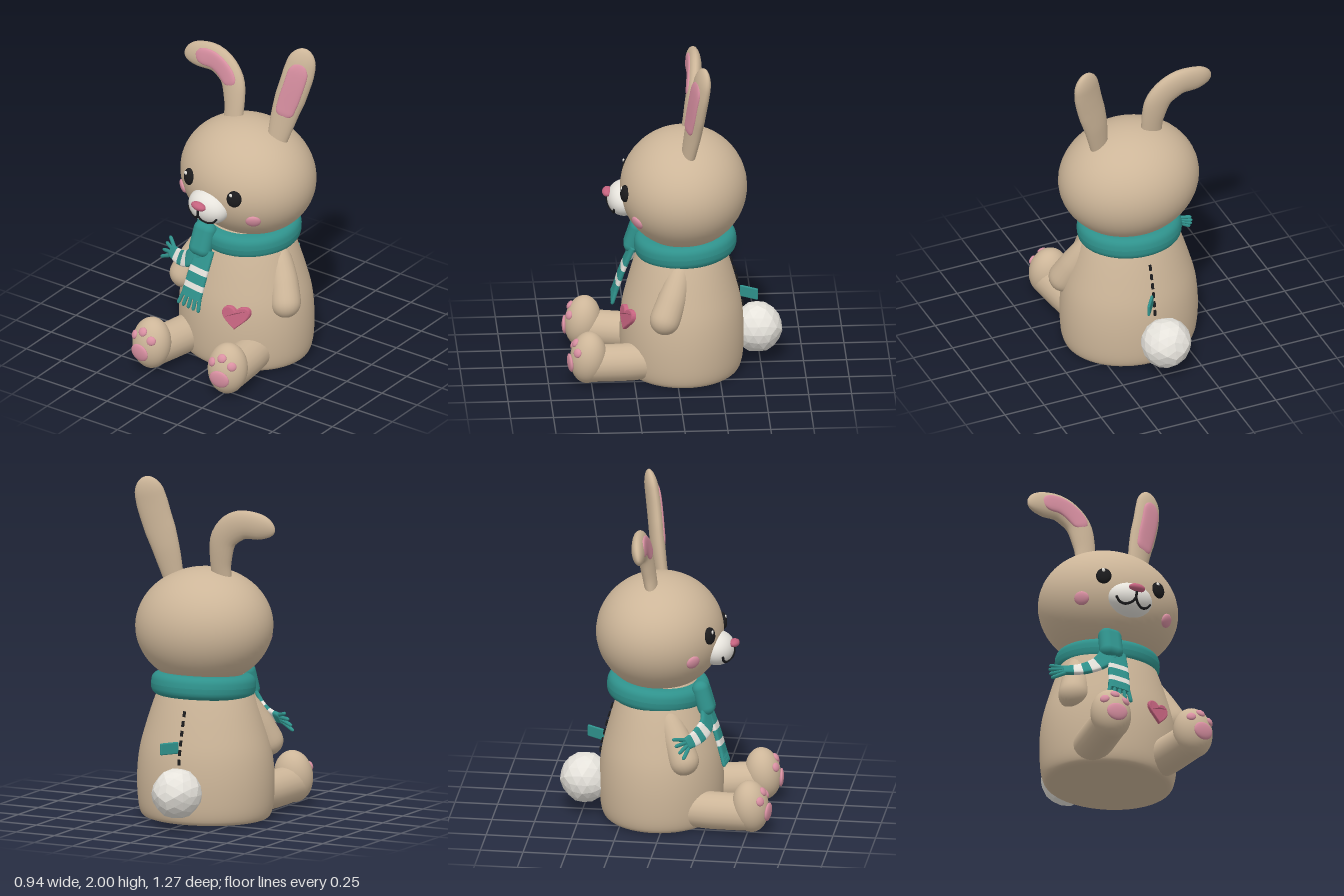
import * as THREE from 'three';
import { RoundedBoxGeometry } from 'three/addons/geometries/RoundedBoxGeometry.js';

const V = (x, y, z) => new THREE.Vector3(x, y, z);
const makeMat = (name, color) => {
  const m = new THREE.MeshStandardMaterial({ color });
  m.name = name;
  return m;
};

// Body outline as radius and height, stretched to an oval
const bodyProfile = [[0, 0], [0.35, 0], [0.385, 0.02], [0.405, 0.1], [0.41, 0.25], [0.395, 0.4], [0.355, 0.55], [0.305, 0.7], [0.26, 0.8], [0.19, 0.9]];
const BODY = { x: 0.01, z: -0.04, depth: 0.88 };
function bodyZ(x, y, sign) {
  const i = Math.max(2, bodyProfile.findIndex(p => p[1] > y));
  const [r0, y0] = bodyProfile[i - 1], [r1, y1] = bodyProfile[i];
  const r = r0 + (r1 - r0) * (y - y0) / (y1 - y0);
  return BODY.z + sign * BODY.depth * Math.sqrt(Math.max(0, r * r - (x - BODY.x) ** 2));
}

// Linear lookup in an evenly spaced list
const lerpList = (a, t) => {
  const f = t * (a.length - 1), i = Math.min(a.length - 2, Math.floor(f));
  return a[i] + (a[i + 1] - a[i]) * (f - i);
};
// Rounds a sweep off at its start (k0) and end (k1)
const rounded = (u, k0, k1) => {
  if (u < k0) return Math.sqrt(Math.max(0, 1 - (1 - u / k0) ** 2));
  if (u > 1 - k1) return Math.sqrt(Math.max(0, 1 - ((u - 1 + k1) / k1) ** 2));
  return 1;
};

// Closed sweep of oval sections along a curve; `face` is the side the flat faces
function sweep(points, { w, d = w, face = V(0, 0, 1), t0 = 0, t1 = 1, k0 = 0, k1 = 0, lift = 0, power = 1, rings = 28, sides = 20 }) {
  const curve = new THREE.CatmullRomCurve3(points), pos = [], idx = [], capPts = [];
  for (let i = 0; i <= rings; i++) {
    const u = (1 - Math.cos(Math.PI * i / rings)) / 2, t = t0 + (t1 - t0) * u;
    const T = curve.getTangentAt(t), S = face.clone().cross(T).normalize(), N = T.clone().cross(S);
    const c = curve.getPointAt(t).addScaledVector(N, lift), k = Math.max(1e-4, rounded(u, k0, k1));
    for (let j = 0; j < sides; j++) {
      const a = j / sides * Math.PI * 2, co = Math.cos(a), si = Math.sin(a);
      const p = c.clone()
        .addScaledVector(S, Math.sign(co) * Math.abs(co) ** power * lerpList(w, t) * k)
        .addScaledVector(N, Math.sign(si) * Math.abs(si) ** power * lerpList(d, t) * k);
      pos.push(p.x, p.y, p.z);
      if (i < rings) {
        const n = (j + 1) % sides, A = i * sides + j, B = i * sides + n;
        idx.push(A, B, B + sides, A, B + sides, A + sides);
      }
    }
    if (i === 0 || i === rings) capPts.push(c);
  }
  capPts.forEach((c, e) => {
    const from = e * rings * sides, base = pos.length / 3;
    pos.push(...pos.slice(from * 3, (from + sides) * 3), c.x, c.y, c.z);
    for (let j = 0; j < sides; j++) {
      const n = (j + 1) % sides;
      idx.push(base + sides, base + (e ? j : n), base + (e ? n : j));
    }
  });
  const g = new THREE.BufferGeometry();
  g.setAttribute('position', new THREE.Float32BufferAttribute(pos, 3));
  g.setIndex(idx);
  g.computeVertexNormals();
  return g;
}

export function createModel() {
  const fur = makeMat('tan fur', 0xcdb699), pink = makeMat('soft pink', 0xd990a2), rose = makeMat('rose', 0xc5637f);
  const teal = makeMat('teal wool', 0x2f928c), white = makeMat('off white', 0xe6e3dc), black = makeMat('black', 0x1b1b1d);
  const model = new THREE.Group();
  const add = (parent, name, geo, mat, x = 0, y = 0, z = 0) => {
    const m = new THREE.Mesh(geo, mat);
    m.name = name;
    m.position.set(x, y, z);
    parent.add(m);
    return m;
  };
  const ball = (parent, name, mat, p, r, seg = 24) => {
    const m = add(parent, name, new THREE.SphereGeometry(1, seg, Math.round(seg * 0.7)), mat, ...p);
    m.scale.set(...r);
    return m;
  };
  // Flattened ball seated on the front of an ellipsoid with radii R
  const seat = (parent, name, mat, R, x, y, size) => {
    const z = R[2] * Math.sqrt(1 - (x / R[0]) ** 2 - (y / R[1]) ** 2);
    const m = ball(parent, name, mat, [x, y, z], size);
    m.quaternion.setFromUnitVectors(V(0, 0, 1), V(x / R[0] ** 2, y / R[1] ** 2, z / R[2] ** 2).normalize());
    return m;
  };

  // Body
  const outline = [new THREE.Vector2(0, 0), ...new THREE.SplineCurve(bodyProfile.slice(1).map(p => new THREE.Vector2(...p))).getPoints(36)];
  add(model, 'body', new THREE.LatheGeometry(outline, 48), fur, BODY.x, 0, BODY.z).scale.z = BODY.depth;

  // Head and face
  const head = new THREE.Group(), HR = [0.415, 0.345, 0.37];
  head.name = 'head';
  head.position.set(0.015, 1.13, -0.05);
  head.rotation.set(0, -0.09, -0.09);
  model.add(head);
  ball(head, 'skull', fur, [0, 0, 0], HR, 48);
  const MC = [0, -0.08, 0.345], MR = [0.133, 0.1, 0.1];
  ball(head, 'muzzle', white, MC, MR, 32);
  ball(head, 'nose', rose, [0, -0.042, 0.444], [0.05, 0.024, 0.03]);
  for (const s of [-1, 1]) {
    seat(head, 'eye', black, HR, s * 0.172, 0.037, [0.045, 0.051, 0.025]);
    ball(head, 'eyeGlint', white, [s * 0.172 - 0.012, 0.064, 0.354], [0.011, 0.012, 0.006], 12);
    seat(head, 'cheek', pink, HR, s * 0.268, -0.103, [0.045, 0.041, 0.018]);
  }
  const mouthLine = pts => {
    const path = pts.map(([x, y]) => V(MC[0] + x, MC[1] + y, MC[2] + MR[2] * Math.sqrt(1 - (x / MR[0]) ** 2 - (y / MR[1]) ** 2)));
    add(head, 'mouth', new THREE.TubeGeometry(new THREE.CatmullRomCurve3(path), 20, 0.008, 8), black);
    for (const p of [path[0], path.at(-1)]) ball(head, 'mouthEnd', black, p.toArray(), [0.008, 0.008, 0.008], 10);
  };
  mouthLine([[0, 0.025], [0, 0], [0, -0.025]]);
  for (const s of [-1, 1]) mouthLine([[0, -0.025], [s * 0.02, -0.052], [s * 0.055, -0.064], [s * 0.085, -0.052], [s * 0.104, -0.028]]);

  // Ears: one folded over, one upright
  const ear = (name, path, w, face, t0, t1, innerW) => {
    add(model, name, sweep(path, { w, d: [0.035, 0.042, 0.042, 0.035], face, k1: 0.16, rings: 40 }), fur);
    add(model, name + 'Inner', sweep(path, { w: innerW, d: [0.014, 0.014], face, t0, t1, k0: 0.12, k1: 0.2, lift: 0.032, power: 0.8 }), pink);
  };
  ear('foldedEar', [V(-0.115, 1.36, -0.07), V(-0.12, 1.55, -0.1), V(-0.155, 1.68, -0.12), V(-0.26, 1.758, -0.13), V(-0.38, 1.758, -0.125), V(-0.48, 1.735, -0.11)],
    [0.062, 0.065, 0.08, 0.088, 0.084, 0.07], V(-0.05, 0.1, 1).normalize(), 0.4, 0.87, [0.02, 0.03, 0.055, 0.055, 0.045]);
  ear('uprightEar', [V(0.2, 1.36, -0.06), V(0.245, 1.58, -0.095), V(0.305, 1.8, -0.125), V(0.345, 2.0, -0.16)],
    [0.056, 0.076, 0.092, 0.094, 0.08], V(0.35, 0.15, 0.93).normalize(), 0.31, 0.87, [0.045, 0.05, 0.062, 0.062, 0.045]);

  // Arms
  const armShape = { w: [0.055, 0.072, 0.084, 0.09, 0.088], k0: 0.12, k1: 0.2 };
  add(model, 'leftArm', sweep([V(0.23, 0.74, -0.03), V(0.315, 0.57, 0.025), V(0.4, 0.36, 0.11)], armShape), fur);
  add(model, 'rightArm', sweep([V(-0.2, 0.74, 0), V(-0.265, 0.57, 0.08), V(-0.335, 0.37, 0.165)], armShape), fur);

  // Legs and feet with paw pads
  for (const s of [-1, 1]) {
    add(model, 'leg', sweep([V(s * 0.2, 0.12, 0.05), V(s * 0.235, 0.12, 0.28), V(s * 0.27, 0.13, 0.52)], { w: [0.105, 0.11, 0.108], face: V(0, 1, 0), k0: 0.15 }), fur);
    const foot = new THREE.Group(), FR = [0.12, 0.155, 0.105];
    foot.name = 'foot';
    foot.position.set(s * 0.27, 0.17, 0.52);
    foot.rotation.set(-0.12, s * 0.13, 0);
    model.add(foot);
    ball(foot, 'footBall', fur, [0, 0, 0], FR, 32);
    seat(foot, 'solePad', pink, FR, 0, -0.038, [0.063, 0.053, 0.016]);
    for (const [x, y] of [[-0.065, 0.05], [0, 0.088], [0.065, 0.05]]) seat(foot, 'toePad', pink, FR, x, y, [0.028, 0.027, 0.015]);
  }

  // Scarf ring and knot
  const ringProfile = [];
  for (let i = 0; i <= 24; i++) {
    const a = -i / 24 * Math.PI * 2, c = Math.cos(a), n = Math.sin(a);
    ringProfile.push(new THREE.Vector2(0.235 + Math.sign(c) * Math.abs(c) ** 0.75 * 0.073, -Math.sign(n) * Math.abs(n) ** 0.75 * 0.07));
  }
  ringProfile.reverse();
  // Profile runs upward on its outer side so faces point outward
  ringProfile.reverse();
  const ring = add(model, 'scarfRing', new THREE.LatheGeometry(ringProfile, 48), teal, 0.015, 0.785, -0.06);
  ring.rotation.x = 0.075;
  ring.scale.z = 0.97;
  const knot = add(model, 'scarfKnot', new RoundedBoxGeometry(0.14, 0.21, 0.1, 6, 0.048), teal, -0.115, 0.775, 0.225);
  knot.rotation.set(-0.3, 0, -0.08);

  // Striped scarf ends with fringes
  const scarfEnd = (name, path, bounds, w, face, count, fan, length) => {
    const tail = new THREE.Group();
    tail.name = name;
    model.add(tail);
    for (let i = 0; i < bounds.length - 1; i++) {
      add(tail, 'stripe', sweep(path, { w, d: [0.016, 0.016], face, t0: bounds[i], t1: bounds[i + 1], power: 0.6, rings: 8 }), i % 2 ? white : teal);
    }
    const end = path.at(-1), T = new THREE.CatmullRomCurve3(path).getTangentAt(1), S = face.clone().cross(T).normalize();
    for (let i = 0; i < count; i++) {
      const f = i / (count - 1) * 2 - 1, start = end.clone().addScaledVector(S, f * (w.at(-1) - 0.012)).addScaledVector(T, -0.015);
      const dir = T.clone().addScaledVector(S, f * fan).normalize();
      add(tail, 'fringe', sweep([start, start.clone().addScaledVector(dir, length)], { w: [0.012, 0.011], face, k1: 0.15, rings: 8, sides: 8 }), teal);
    }
  };
  scarfEnd('hangingScarfEnd', [V(-0.085, 0.72, 0.24), V(-0.1, 0.58, 0.295), V(-0.118, 0.435, 0.34)],
    [0, 0.38, 0.5, 0.7, 0.82, 1], [0.06, 0.07], V(0, 0.35, 0.94), 5, 0.2, 0.085);
  scarfEnd('flyingScarfEnd', [V(-0.125, 0.72, 0.24), V(-0.19, 0.635, 0.25), V(-0.28, 0.59, 0.21), V(-0.385, 0.578, 0.155)],
    [0, 0.4, 0.54, 0.68, 0.83, 1], [0.055, 0.05, 0.035], V(-0.2, 0.5, 0.8).normalize(), 4, 0.45, 0.105);

  // Heart patch wrapped on the belly
  const heart = new THREE.Shape();
  heart.moveTo(0, -0.062);
  heart.bezierCurveTo(-0.03, -0.03, -0.075, 0, -0.072, 0.035);
  heart.bezierCurveTo(-0.068, 0.072, -0.015, 0.072, 0, 0.033);
  heart.bezierCurveTo(0.015, 0.072, 0.068, 0.072, 0.072, 0.035);
  heart.bezierCurveTo(0.075, 0, 0.03, -0.03, 0, -0.062);
  const heartGeo = new THREE.ExtrudeGeometry(heart, { depth: 0.02, bevelThickness: 0.008, bevelSize: 0.006, bevelSegments: 3, curveSegments: 12 });
  const hp = heartGeo.attributes.position;
  for (let i = 0; i < hp.count; i++) {
    const x = hp.getX(i) + 0.165, y = hp.getY(i) + 0.367;
    hp.setXYZ(i, x, y, bodyZ(x, y, 1) + hp.getZ(i) - 0.004);
  }
  heartGeo.computeVertexNormals();
  add(model, 'heartPatch', heartGeo, rose);

  // Back seam stitches and side tag
  for (let i = 0; i < 6; i++) {
    const y = 0.65 - i * 0.055;
    const stitch = add(model, 'stitch', new THREE.BoxGeometry(0.014, 0.034, 0.016), black, 0, y, bodyZ(0, y, -1) - 0.004);
    stitch.rotation.x = Math.atan2(bodyZ(0, y + 0.01, -1) - bodyZ(0, y - 0.01, -1), 0.02);
  }
  add(model, 'tag', new RoundedBoxGeometry(0.016, 0.07, 0.12, 3, 0.007), teal, 0.045, 0.46, -0.43).rotation.y = -0.59;

  // Faceted pompom tail
  const pom = new THREE.IcosahedronGeometry(0.147, 2), pp = pom.attributes.position, v = V(0, 0, 0);
  for (let i = 0; i < pp.count; i++) {
    v.fromBufferAttribute(pp, i);
    v.multiplyScalar(1 + 0.03 * Math.sin(v.x * 61 + 1) * Math.cos(v.y * 53 + v.z * 71));
    pp.setXYZ(i, v.x, v.y, v.z);
  }
  pom.computeVertexNormals();
  add(model, 'tail', pom, white, -0.033, 0.21, -0.482);

  return model;
}
